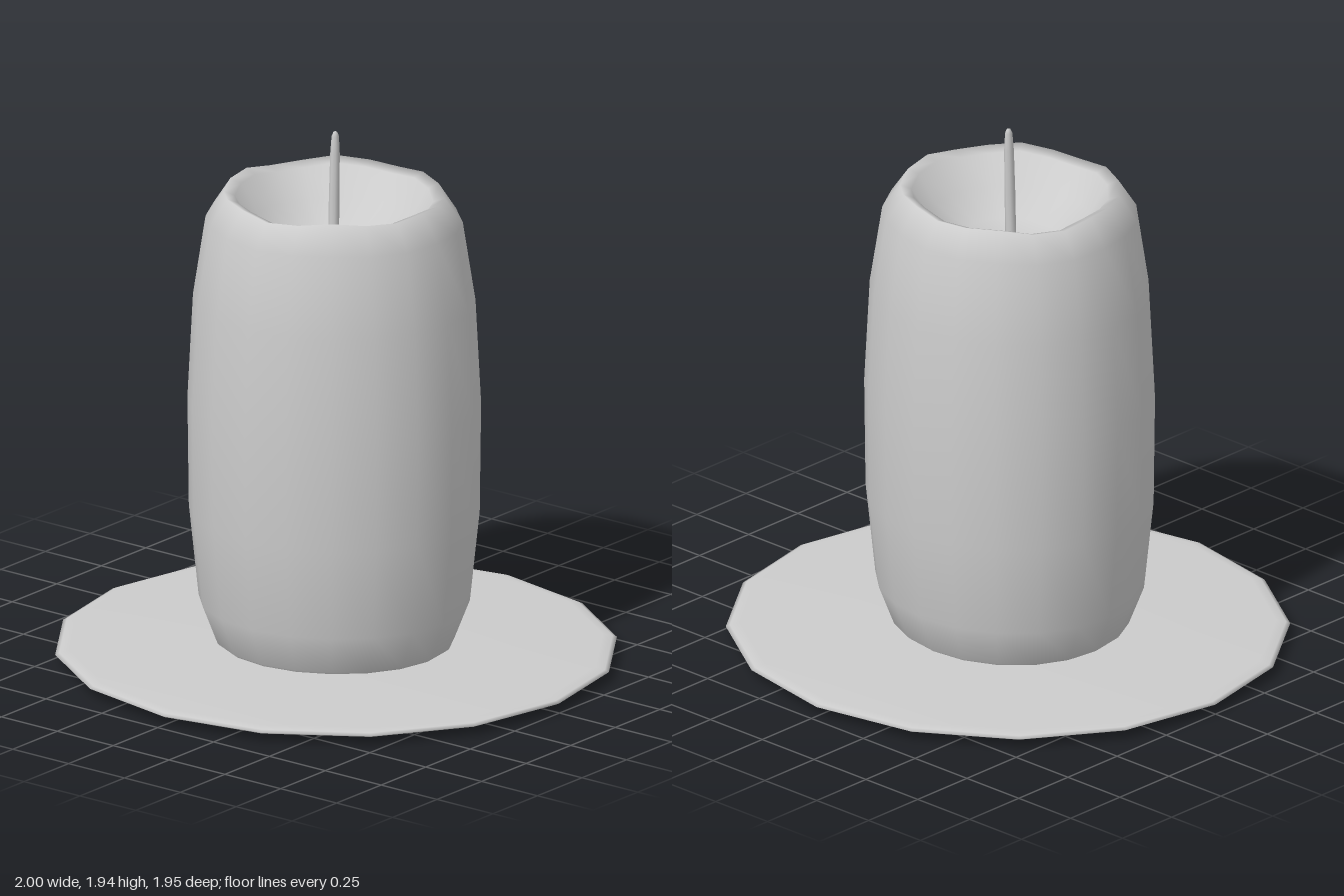
import * as THREE from 'three';
import { mergeVertices } from 'three/addons/utils/BufferGeometryUtils.js';

const material = new THREE.MeshStandardMaterial({ color: 0xcccccc });

// Smooth, seamless lathe whose points can be moved by a rule
function turned(name, profile, sides, rule) {
  const points = profile.map(([r, y]) => new THREE.Vector2(r, y));
  let geometry = new THREE.LatheGeometry(points, sides);
  const p = geometry.attributes.position;
  const v = new THREE.Vector3();
  for (let i = 0; i < p.count; i++) {
    rule(v.fromBufferAttribute(p, i));
    p.setXYZ(i, v.x, v.y, v.z);
  }
  geometry.deleteAttribute('uv');
  geometry.deleteAttribute('normal');
  geometry = mergeVertices(geometry, 1e-4);
  geometry.computeVertexNormals();
  const mesh = new THREE.Mesh(geometry, material);
  mesh.name = name;
  return mesh;
}

export function createModel() {
  const model = new THREE.Group();
  model.name = 'candleOnPlate';

  // Thin, slightly domed sixteen-sided plate
  model.add(turned('plate', [
    [0, 0.005], [0.5, 0.01], [0.95, 0.027], [0.985, 0.033], [1, 0.041],
    [0.985, 0.048], [0.95, 0.055], [0.5, 0.068], [0, 0.072],
  ], 16, (v) => { v.z *= 0.975; }));

  // Barrel-shaped wax body with a melted hollow and a wavy rim
  model.add(turned('waxBody', [
    [0, 0.05], [0.39, 0.05], [0.43, 0.08], [0.485, 0.22], [0.52, 0.55],
    [0.525, 0.95], [0.505, 1.33], [0.46, 1.62], [0.395, 1.715],
    [0.355, 1.7], [0.29, 1.6], [0.17, 1.53], [0, 1.51],
  ], 20, (v) => {
    const a = Math.atan2(v.z, v.x);
    const r = Math.hypot(v.x, v.z);
    if (v.y > 1.55) {
      const melt = (v.y - 1.55) / 0.165;
      v.y += melt * (0.009 * Math.cos(6 * a + 0.5) + 0.004 * Math.sin(3 * a));
    }
    const wobble = 1 + 0.012 * Math.cos(3 * a + 0.6) * Math.min(1, r / 0.3);
    v.x = v.x * wobble - 0.01;
    v.z *= 0.945 * wobble;
  }));

  // Wick leaning slightly back, with a rounded tip
  model.add(turned('wick', [
    [0.019, 1.48], [0.019, 1.7], [0.017, 1.86], [0.013, 1.925], [0.007, 1.94], [0, 1.943],
  ], 8, (v) => {
    const t = (v.y - 1.48) / 0.46;
    v.z += 0.012 * (1 - t);
    v.x -= 0.003;
  }));

  return model;
}
